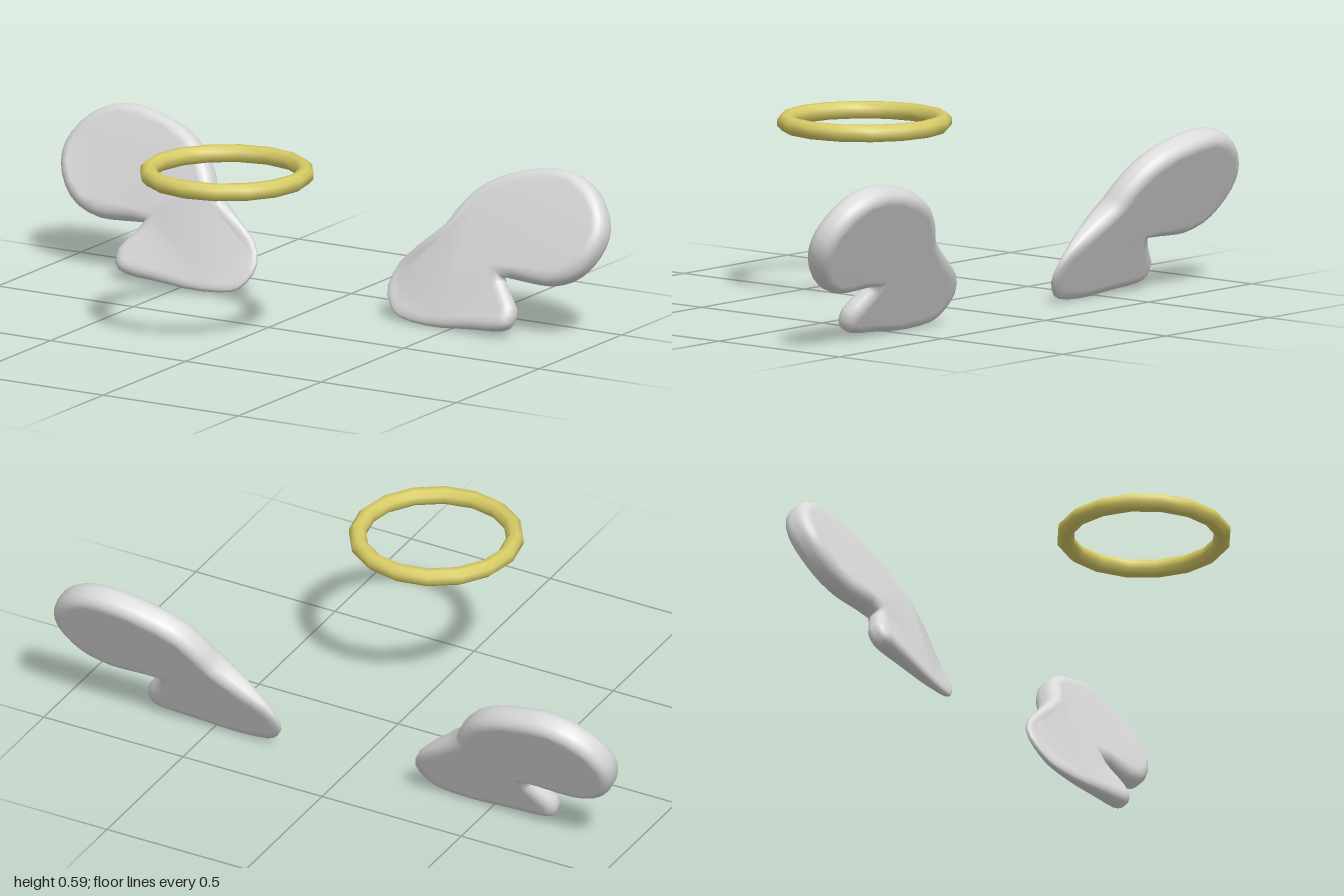
import * as THREE from 'three';
import { mergeVertices } from 'three/addons/utils/BufferGeometryUtils.js';

const wingMaterial = new THREE.MeshStandardMaterial({ color: 0xd9d9d9 });
wingMaterial.name = 'pale grey';
const haloMaterial = new THREE.MeshStandardMaterial({ color: 0xd8cc66 });
haloMaterial.name = 'soft gold';

// Left wing outline seen from the front, starting and ending at the notch
const OUTLINE = [
  [0.66, 0.177], [0.688, 0.139], [0.731, 0.086], [0.726, 0.037], [0.683, 0.016],
  [0.57, 0.01], [0.447, 0.002], [0.33, 0.011], [0.276, 0.037], [0.244, 0.096],
  [0.265, 0.166], [0.33, 0.225], [0.426, 0.3], [0.458, 0.353], [0.517, 0.423],
  [0.597, 0.471], [0.704, 0.503], [0.795, 0.514], [0.876, 0.498], [0.945, 0.455],
  [0.993, 0.386], [1, 0.32], [0.972, 0.252], [0.918, 0.198], [0.838, 0.171],
  [0.758, 0.171], [0.66, 0.177],
];
const TILT = 0.449;           // wings lean back
const BACK = -0.267;          // offset of the flat back face along the wing normal
const COS = Math.cos(TILT), SIN = Math.sin(TILT);

// Share one normal per point so the surface shades smoothly
function smooth(geometry) {
  geometry.deleteAttribute('normal');
  geometry.deleteAttribute('uv');
  const merged = mergeVertices(geometry, 1e-4);
  merged.computeVertexNormals();
  return merged;
}

// Front face offset: thin at the inner tip, puffed on the upper lobe
function frontOffset(x, y) {
  const lower = THREE.MathUtils.lerp(-0.24, -0.197, THREE.MathUtils.clamp((x - 0.3) / 0.4, 0, 1));
  return THREE.MathUtils.lerp(lower, -0.174, THREE.MathUtils.smoothstep(y, 0.13, 0.3));
}

function createWing(side) {
  // Outline in the wing's own tilted plane
  const points = OUTLINE.map(([x, y]) =>
    new THREE.Vector2(side * x, (y * 0.975 + 0.006 + 0.225 * SIN) / COS));
  const shape = new THREE.Shape();
  shape.moveTo(points[0].x, points[0].y);
  shape.splineThru(points.slice(1));
  const geometry = new THREE.ExtrudeGeometry(shape, {
    depth: 0.2, bevelThickness: 0.4, bevelSize: 0.034, bevelOffset: -0.034,
    bevelSegments: 5, curveSegments: 2,
  });

  // Set the thickness by position, then lean the wing back
  const p = geometry.attributes.position;
  for (let i = 0; i < p.count; i++) {
    const x = p.getX(i), v = p.getY(i), t = p.getZ(i) + 0.4;
    const front = frontOffset(side * x, v * COS - 0.225 * SIN);
    const n = BACK + t * (front - BACK);
    p.setXYZ(i, x, v * COS + n * SIN, -v * SIN + n * COS);
  }
  const wing = new THREE.Mesh(smooth(geometry), wingMaterial);
  wing.name = side > 0 ? 'leftWing' : 'rightWing';
  return wing;
}

function createHalo() {
  // Eight-sided tube swept round sixteen segments
  const profile = [];
  for (let i = 0; i <= 8; i++) {
    const a = (i + 0.5) * Math.PI / 4;
    profile.push(new THREE.Vector2(0.25 + 0.0285 * Math.cos(a), 0.0285 * Math.sin(a)));
  }
  const halo = new THREE.Mesh(smooth(new THREE.LatheGeometry(profile, 16)), haloMaterial);
  halo.name = 'halo';
  halo.position.set(0, 0.556, 0.251);
  return halo;
}

export function createModel() {
  const model = new THREE.Group();
  model.name = 'wingsAndHalo';
  model.add(createWing(1), createWing(-1), createHalo());
  return model;
}
